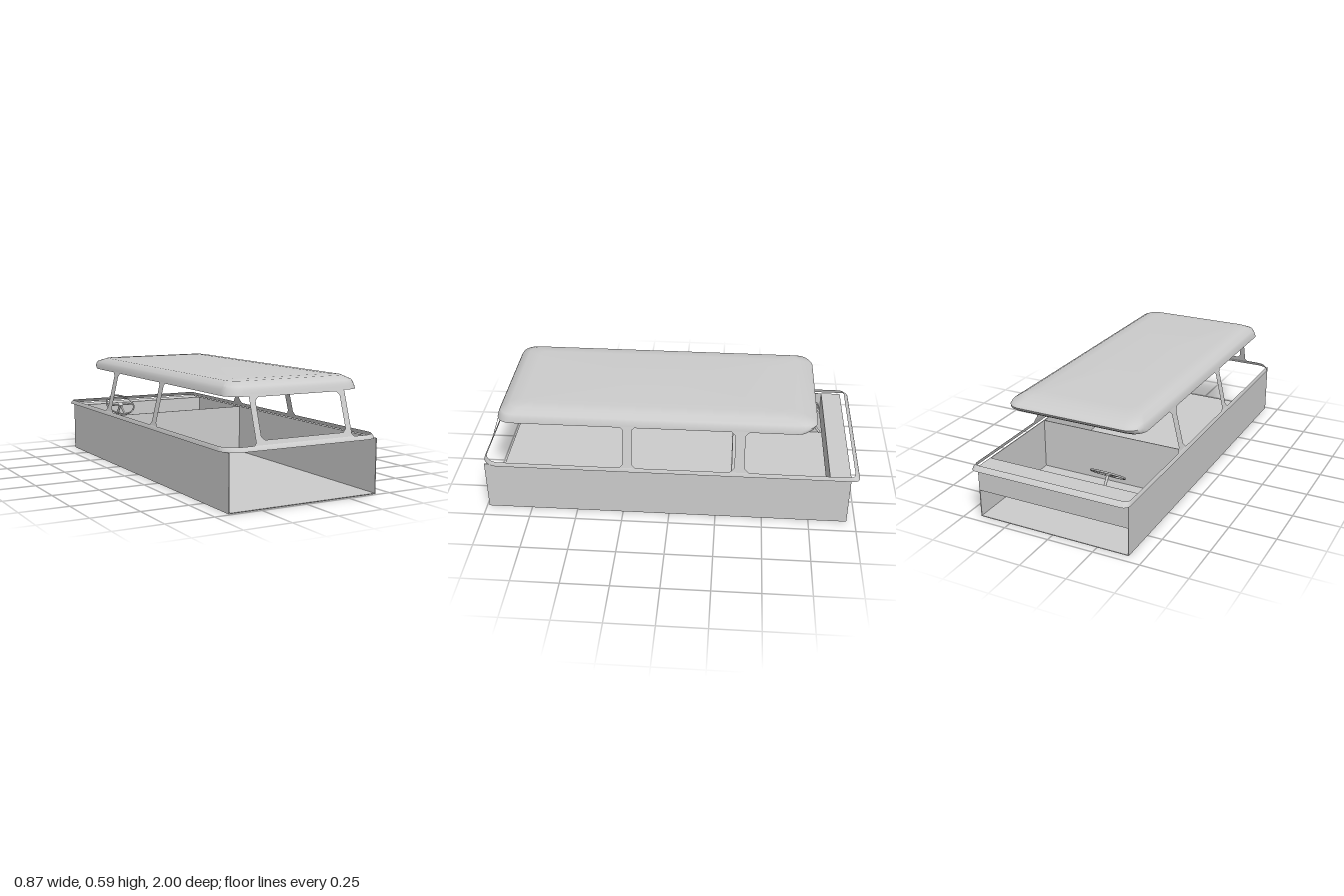
import * as THREE from 'three';
import { toCreasedNormals } from 'three/addons/utils/BufferGeometryUtils.js';

const grey = new THREE.MeshStandardMaterial({ color: 0xcccccc, side: THREE.DoubleSide });
grey.name = 'bodyGrey';

function add(parent, name, geometry) {
  const mesh = new THREE.Mesh(geometry, grey);
  mesh.name = name;
  parent.add(mesh);
  return mesh;
}

function box(parent, name, size, pos) {
  const mesh = add(parent, name, new THREE.BoxGeometry(...size));
  mesh.position.set(...pos);
  return mesh;
}

// Rounded rectangle in plan, with separate front and back corner radii
function outline(hx, zb, zf, rf, rb, steps = 8) {
  const pts = [];
  const corners = [
    [hx - rf, zf - rf, rf], [hx - rb, zb + rb, rb],
    [-hx + rb, zb + rb, rb], [-hx + rf, zf - rf, rf],
  ];
  corners.forEach(([cx, cz, r], k) => {
    for (let s = 0; s <= steps; s++) {
      const a = (k + s / steps) * Math.PI / 2;
      pts.push([cx + r * Math.sin(a), cz + r * Math.cos(a)]);
    }
  });
  return pts;
}

// Skin over stacked outlines: each ring is [y, halfWidth, back, front, rFront, rBack]
function loft(rings, cap) {
  const pos = [], index = [];
  let n = 0;
  for (const [y, ...o] of rings) {
    const pts = outline(...o);
    n = pts.length;
    for (const [x, z] of pts) pos.push(x, y, z);
  }
  for (let j = 0; j < rings.length - 1; j++) {
    for (let i = 0; i < n; i++) {
      const a = j * n + i, b = j * n + (i + 1) % n;
      index.push(a, b, b + n, a, b + n, a + n);
    }
  }
  if (cap) {
    const last = rings[rings.length - 1], base = (rings.length - 1) * n;
    pos.push(0, last[0], (last[2] + last[3]) / 2);
    for (let i = 0; i < n; i++) index.push(rings.length * n, base + i, base + (i + 1) % n);
  }
  const g = new THREE.BufferGeometry();
  g.setAttribute('position', new THREE.Float32BufferAttribute(pos, 3));
  g.setIndex(index);
  return toCreasedNormals(g, 0.7);
}

const SILL = 0.302, HEAD = 0.528;
const lean = (y, low, high) => low + (high - low) * (y - SILL) / (HEAD - SILL);
const polygon = (pts) => new THREE.Shape(pts.map(([x, y]) => new THREE.Vector2(x, y)));

// Leaning side pillar with flared ends
function sidePillar(z0, z1, f, side) {
  const g = new THREE.ShapeGeometry(polygon([
    [z0 - f, SILL], [z1 + f, SILL], [z1, SILL + f], [z1, HEAD - f],
    [z1 + f, HEAD], [z0 - f, HEAD], [z0, HEAD - f], [z0, SILL + f],
  ]));
  const p = g.attributes.position;
  for (let i = 0; i < p.count; i++) {
    const z = p.getX(i), y = p.getY(i);
    p.setXYZ(i, side * lean(y, 0.43, 0.377), y, z);
  }
  g.computeVertexNormals();
  return g;
}

// Leaning front window frame with a chamfered opening
function frontFrame() {
  const w = 0.272, f = 0.012;
  const shape = polygon([
    [-w - f, SILL], [w + f, SILL], [w, SILL + f], [w, HEAD], [-w, HEAD], [-w, SILL + f],
  ]);
  const a = 0.24, b = 0.324, t = 0.517, c = 0.017;
  shape.holes.push(polygon([
    [-a + c, b], [-a, b + c], [-a, t - c], [-a + c, t],
    [a - c, t], [a, t - c], [a, b + c], [a - c, b],
  ]));
  const g = new THREE.ShapeGeometry(shape);
  const p = g.attributes.position;
  for (let i = 0; i < p.count; i++) p.setZ(i, lean(p.getY(i), 0.985, 0.91));
  g.computeVertexNormals();
  return g;
}

export function createModel() {
  const model = new THREE.Group();
  model.name = 'openBus';

  // Lower tub, open at the front end
  const zb = -0.955, zf = 0.988, len = zf - zb, mid = (zf + zb) / 2, t = 0.004;
  box(model, 'floor', [0.842, t, len], [0, t / 2, mid]);
  for (const s of [-1, 1]) {
    box(model, s > 0 ? 'leftWall' : 'rightWall', [t, 0.282, len], [s * 0.419, 0.141, mid]);
  }
  box(model, 'partition', [0.834, 0.278, t], [0, 0.143, -0.33]);
  box(model, 'dashboard', [0.834, 0.132, 0.11], [0, 0.216, -0.9]);

  // Flared belt rim around the tub
  add(model, 'beltRim', loft([
    [0.28, 0.437, -1, 1, 0.085, 0.035],
    [0.29, 0.436, -0.994, 0.997, 0.085, 0.035],
    [0.302, 0.43, -0.975, 0.985, 0.08, 0.03],
  ]));

  // Window frames
  add(model, 'frontWindowFrame', frontFrame());
  for (const s of [-1, 1]) {
    add(model, 'middlePillar', sidePillar(0.195, 0.245, 0.018, s));
    add(model, 'rearPillar', sidePillar(-0.395, -0.343, 0.025, s));
  }

  // Roof shell with a visor over the cockpit
  add(model, 'roof', loft([
    [0.522, 0.378, -0.735, 0.914, 0.08, 0.08],
    [0.535, 0.376, -0.755, 0.91, 0.08, 0.08],
    [0.55, 0.371, -0.765, 0.906, 0.08, 0.08],
    [0.566, 0.364, -0.75, 0.897, 0.075, 0.075],
    [0.587, 0.328, -0.675, 0.85, 0.06, 0.06],
    [0.591, 0.27, -0.6, 0.79, 0.05, 0.05],
  ], true));

  // Steering wheel: local y is the column axis
  const wheel = new THREE.Group();
  wheel.name = 'steeringWheel';
  wheel.position.set(-0.2, 0.284, -0.741);
  wheel.rotation.x = 0.61;
  const rim = add(wheel, 'wheelRim', new THREE.TorusGeometry(0.086, 0.005, 8, 32));
  rim.rotation.x = Math.PI / 2;
  add(wheel, 'wheelHub', new THREE.CylinderGeometry(0.016, 0.016, 0.012, 16));
  for (const a of [0, Math.PI, -Math.PI / 2]) {
    const spoke = add(wheel, 'spoke', new THREE.BoxGeometry(0.086, 0.005, 0.01).translate(0.043, 0, 0));
    spoke.rotation.y = a;
  }
  const column = add(wheel, 'steeringColumn', new THREE.CylinderGeometry(0.007, 0.007, 0.16, 12));
  column.position.y = -0.08;
  model.add(wheel);

  return model;
}
